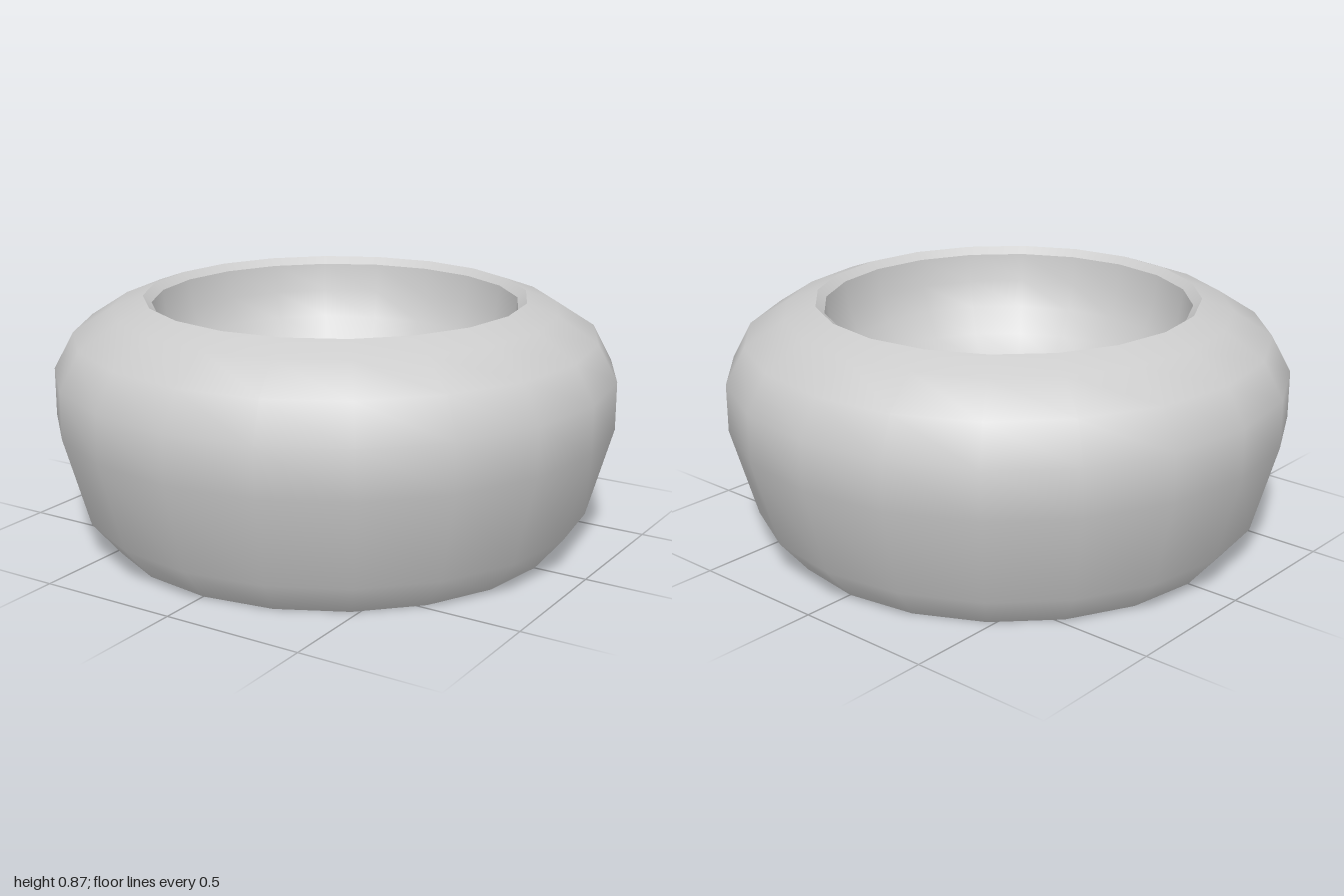
import * as THREE from 'three';

const SIDES = 20;

export function createModel() {
  const model = new THREE.Group();
  model.name = 'bowl';
  const material = new THREE.MeshStandardMaterial({ color: 0xcccccc });

  // One turned section; separate sections keep a sharp edge between them
  const turned = (name, profile) => {
    const points = profile.map(([r, y]) => new THREE.Vector2(r, y));
    const mesh = new THREE.Mesh(new THREE.LatheGeometry(points, SIDES), material);
    mesh.name = name;
    model.add(mesh);
  };

  turned('base', [[0, 0], [0.81, 0]]);

  // Rounded outside, widest just above the middle
  turned('outerWall', [
    [0.81, 0], [0.91, 0.12], [1, 0.44], [1, 0.61],
    [0.93, 0.74], [0.79, 0.83], [0.68, 0.87],
  ]);

  // Narrow bevel sloping into the opening
  turned('rim', [[0.68, 0.87], [0.65, 0.845]]);

  // Rounded hollow, a quarter ellipse from the rim to the middle
  const hollow = [];
  const steps = 8;
  for (let i = 0; i <= steps; i++) {
    const a = (i / steps) * Math.PI / 2;
    hollow.push([i === steps ? 0 : 0.65 * Math.cos(a), 0.845 - 0.52 * Math.sin(a)]);
  }
  turned('hollow', hollow);

  return model;
}
